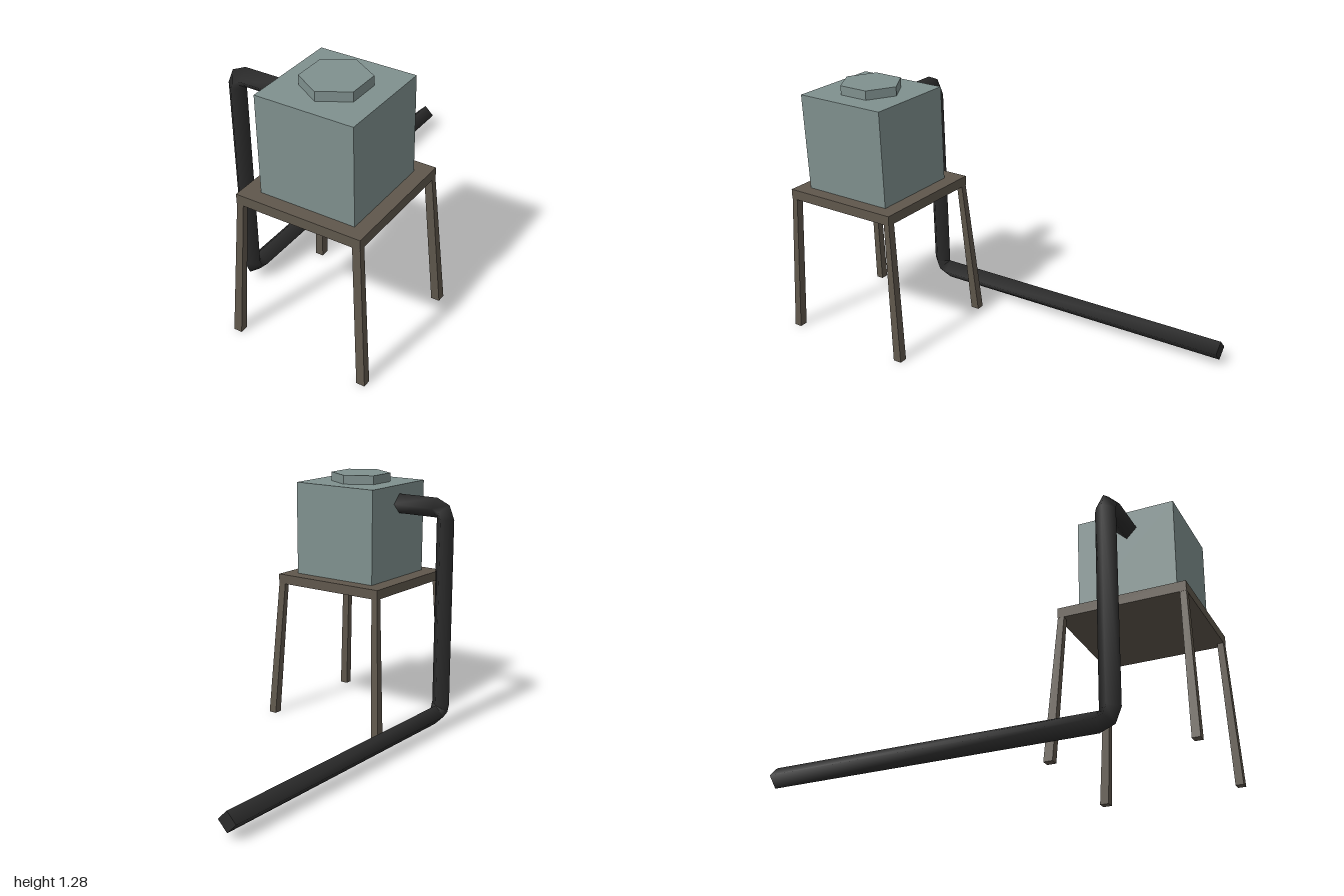
import * as THREE from 'three';

const mat = (name, color, side = THREE.FrontSide) => {
  const m = new THREE.MeshStandardMaterial({ color, side });
  m.name = name;
  return m;
};

// Box whose bottom and top rectangles [x0, x1, z0, z1] may differ
function taperedBox(bottom, y0, top, y1) {
  const g = new THREE.BoxGeometry(1, 1, 1);
  const p = g.attributes.position;
  for (let i = 0; i < p.count; i++) {
    const up = p.getY(i) > 0;
    const r = up ? top : bottom;
    p.setXYZ(i, r[p.getX(i) > 0 ? 1 : 0], up ? y1 : y0, r[p.getZ(i) > 0 ? 3 : 2]);
  }
  g.computeVertexNormals();
  return g;
}

// Four-sided pipe through rings of [centre, tangent, side vector], capped at both ends
function pipeGeometry(rings, radius) {
  const pos = [], index = [];
  const addRing = ([c, t, s]) => {
    const tan = new THREE.Vector3(...t).normalize();
    const v = new THREE.Vector3(...s).normalize();
    const u = v.clone().cross(tan);
    for (const [d, k] of [[u, 1], [v, 1], [u, -1], [v, -1]]) {
      pos.push(c[0] + d.x * k * radius, c[1] + d.y * k * radius, c[2] + d.z * k * radius);
    }
  };
  rings.forEach(addRing);
  for (let i = 0; i < rings.length - 1; i++) {
    for (let k = 0; k < 4; k++) {
      const a = i * 4 + k, b = i * 4 + (k + 1) % 4;
      index.push(a, b, a + 4, b, b + 4, a + 4);
    }
  }
  // end caps with their own vertices
  const n = rings.length * 4;
  addRing(rings[0]);
  addRing(rings[rings.length - 1]);
  index.push(n, n + 2, n + 1, n, n + 3, n + 2);
  index.push(n + 4, n + 5, n + 6, n + 4, n + 6, n + 7);
  const g = new THREE.BufferGeometry();
  g.setAttribute('position', new THREE.Float32BufferAttribute(pos, 3));
  g.setIndex(index);
  g.computeVertexNormals();
  return g;
}

export function createModel() {
  const model = new THREE.Group();
  model.name = 'waterTankOnStand';
  const tankMat = mat('tank grey green', 0x7f908e);
  const standMat = mat('stand brown', 0x5f574c);
  const pipeMat = mat('pipe black', 0x2b2b2b);
  const add = (name, geometry, material, parent = model) => {
    const mesh = new THREE.Mesh(geometry, material);
    mesh.name = name;
    parent.add(mesh);
    return mesh;
  };

  // Tank, leaning very slightly
  add('tank', taperedBox([-0.117, 0.354, 0.434, 0.907], 0.757, [-0.11, 0.365, 0.438, 0.915], 1.238), tankMat);

  // Hexagonal lid
  const lidGeo = new THREE.CylinderGeometry(0.154, 0.154, 0.055, 6).toNonIndexed();
  lidGeo.computeVertexNormals();
  add('lid', lidGeo, tankMat).position.set(0.128, 1.256, 0.677);

  // Stand: flat top and four splayed legs
  const stand = new THREE.Group();
  stand.name = 'stand';
  model.add(stand);
  const slab = [-0.2, 0.422, 0.36, 0.972];
  add('standTop', taperedBox(slab, 0.708, slab, 0.757), standMat, stand);
  const xs = { right: [-0.259, -0.217, -0.199, -0.166], left: [0.405, 0.447, 0.382, 0.421] };
  const zs = { back: [0.303, 0.346, 0.361, 0.391], front: [0.962, 1.0, 0.941, 0.971] };
  for (const [fz, z] of Object.entries(zs)) {
    for (const [sx, x] of Object.entries(xs)) {
      const bottom = [x[0], x[1], z[0], z[1]], top = [x[2], x[3], z[2], z[3]];
      add(`${fz}${sx === 'left' ? 'Left' : 'Right'}Leg`, taperedBox(bottom, 0, top, 0.71), standMat, stand);
    }
  }

  // Pipe: out of the tank, down the side, then back along the ground
  const z = 0.682, x = -0.401;
  add('pipe', pipeGeometry([
    [[-0.08, 1.143, z], [-1, 0, 0], [0, 1, 0]],
    [[-0.335, 1.143, z], [-1, 0, 0], [0, 1, 0]],
    [[-0.371, 1.126, z], [-1, -1, 0], [-1, 1, 0]],
    [[-0.386, 1.091, z], [0, -1, 0], [-1, 0, 0]],
    [[x, 0.128, 0.67], [0, -1, 0], [-1, 0, 0]],
    [[x, 0.093, 0.655], [0, -1, -1], [-1, 0, 0]],
    [[x, 0.078, 0.62], [0, 0, -1], [-1, 0, 0]],
    [[x, 0.078, -1], [0, 0, -1], [-1, 0, 0]],
  ], 0.05), pipeMat);

  return model;
}
